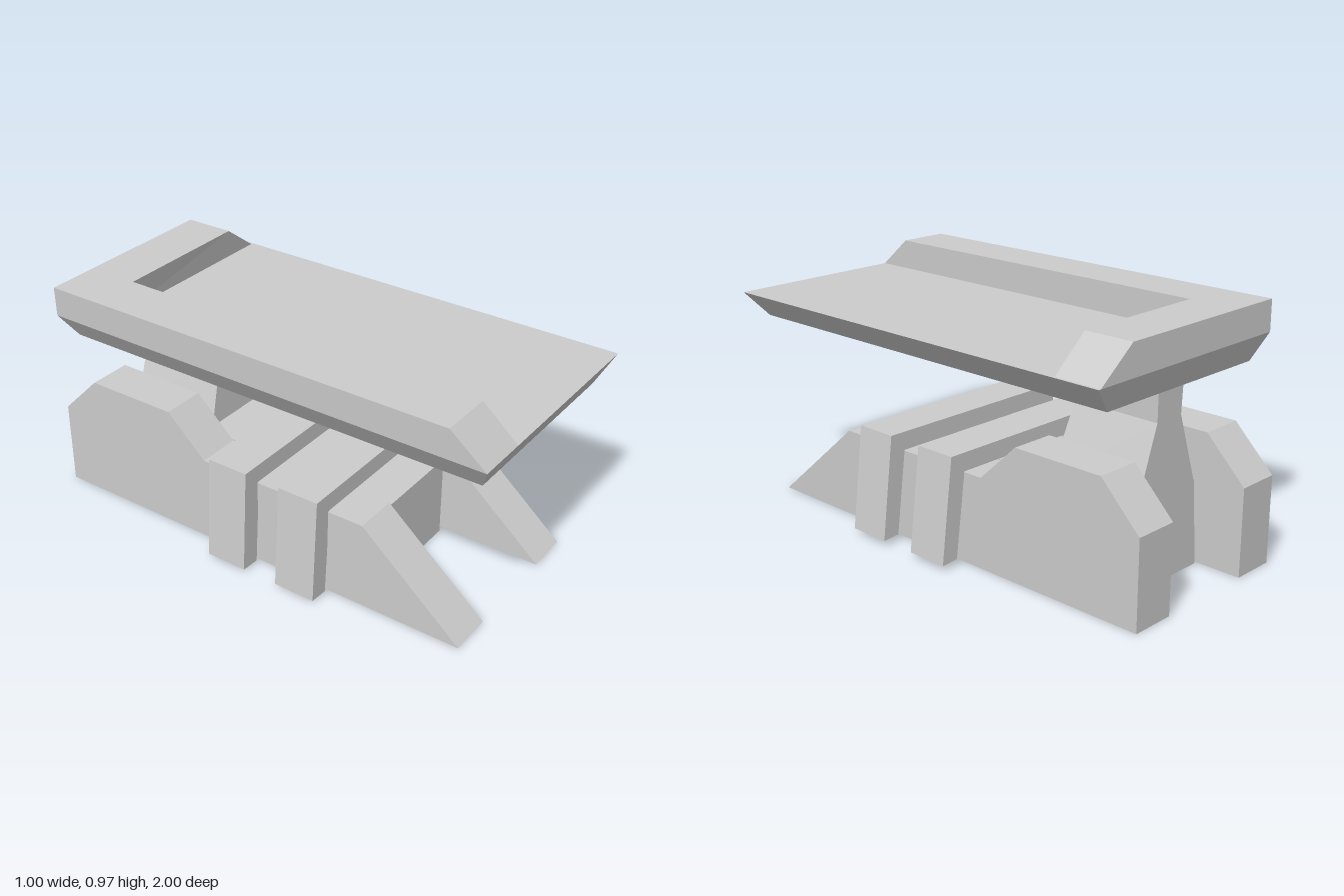
import * as THREE from 'three';

const material = new THREE.MeshStandardMaterial({ color: 0xcccccc, flatShading: true });

function addMesh(parent, name, geometry) {
  const mesh = new THREE.Mesh(geometry, material);
  mesh.name = name;
  parent.add(mesh);
  return mesh;
}

// Solid through horizontal rings; each level is { y, pts: [[x, z], ...] }, bottom to top
function loft(levels) {
  const rings = levels.map(l => l.pts.map(([x, z]) => new THREE.Vector3(x, l.y, z)));
  const flat = ring => ring.map(p => new THREE.Vector2(p.x, -p.z));
  if (THREE.ShapeUtils.isClockWise(flat(rings[0]))) rings.forEach(r => r.reverse());
  const pos = [];
  const tri = (...pts) => pts.forEach(p => pos.push(p.x, p.y, p.z));
  const n = rings[0].length;
  for (let k = 0; k + 1 < rings.length; k++) {
    const lo = rings[k], hi = rings[k + 1];
    for (let i = 0; i < n; i++) {
      const j = (i + 1) % n;
      tri(lo[i], lo[j], hi[j]);
      tri(lo[i], hi[j], hi[i]);
    }
  }
  const bottom = rings[0], top = rings[rings.length - 1];
  for (const [a, b, c] of THREE.ShapeUtils.triangulateShape(flat(bottom), [])) tri(bottom[a], bottom[c], bottom[b]);
  for (const [a, b, c] of THREE.ShapeUtils.triangulateShape(flat(top), [])) tri(top[a], top[b], top[c]);
  const g = new THREE.BufferGeometry();
  g.setAttribute('position', new THREE.Float32BufferAttribute(pos, 3));
  g.computeVertexNormals();
  return g;
}

// Rectangle ring: x range, back z and front z
const rect = (x0, x1, z0, z1) => [[x0, z0], [x1, z0], [x1, z1], [x0, z1]];

function extrude(points, depth) {
  const shape = new THREE.Shape(points.map(([x, y]) => new THREE.Vector2(x, y)));
  return new THREE.ExtrudeGeometry(shape, { depth, bevelEnabled: false });
}

export function createModel() {
  const model = new THREE.Group();
  model.name = 'platformVehicle';

  // Side skids: profile in z and y, extruded across x
  const skidProfile = [[0.885, 0], [0.465, 0.36], [-0.27, 0.36], [-0.44, 0.52],
    [-0.83, 0.52], [-1, 0.35], [-1, 0]];
  for (const [name, xMax] of [['rightSkid', -0.21], ['leftSkid', 0.387]]) {
    const g = extrude(skidProfile, 0.18);
    g.rotateY(-Math.PI / 2);
    g.translate(xMax, 0, 0);
    addMesh(model, name, g);
  }

  // Arched braces over the skids
  const archProfile = [[-0.487, 0.01], [-0.408, 0.005], [-0.38, 0.362], [0.385, 0.362],
    [0.428, 0.025], [0.5, 0.02], [0.45, 0.435], [-0.458, 0.435]];
  for (const [name, z] of [['frontBrace', 0.14], ['rearBrace', -0.185]]) {
    const g = extrude(archProfile, 0.175);
    g.translate(0, 0, z);
    addMesh(model, name, g);
  }

  // Central body, slightly narrower at the top of its back
  addMesh(model, 'body', loft([
    { y: 0, pts: rect(-0.2, 0.178, -0.81, 0.465) },
    { y: 0.343, pts: [[-0.17, -0.81], [0.16, -0.81], [0.178, 0.465], [-0.2, 0.465]] },
  ]));

  // Tapered neck, flaring forward under the platform
  addMesh(model, 'neck', loft([
    { y: 0.343, pts: [[-0.167, -0.81], [0.16, -0.81], [0.178, -0.42], [-0.155, -0.42]] },
    { y: 0.618, pts: rect(-0.073, 0.062, -0.81, -0.435) },
    { y: 0.747, pts: rect(-0.08, 0.062, -0.81, -0.27) },
  ]));

  // Platform tray with sloping underside
  addMesh(model, 'platform', loft([
    { y: 0.747, pts: rect(-0.423, 0.387, -0.85, 0.95) },
    { y: 0.85, pts: rect(-0.495, 0.475, -0.885, 1) },
  ]));

  // L-shaped raised rim along the right and back edges
  addMesh(model, 'rim', loft([
    { y: 0.85, pts: [[-0.495, -0.885], [0.465, -0.885], [0.465, -0.69], [-0.29, -0.69], [-0.29, 1], [-0.495, 1]] },
    { y: 0.972, pts: [[-0.502, -0.88], [0.3, -0.88], [0.3, -0.675], [-0.29, -0.67], [-0.29, 0.86], [-0.502, 0.86]] },
  ]));

  return model;
}
